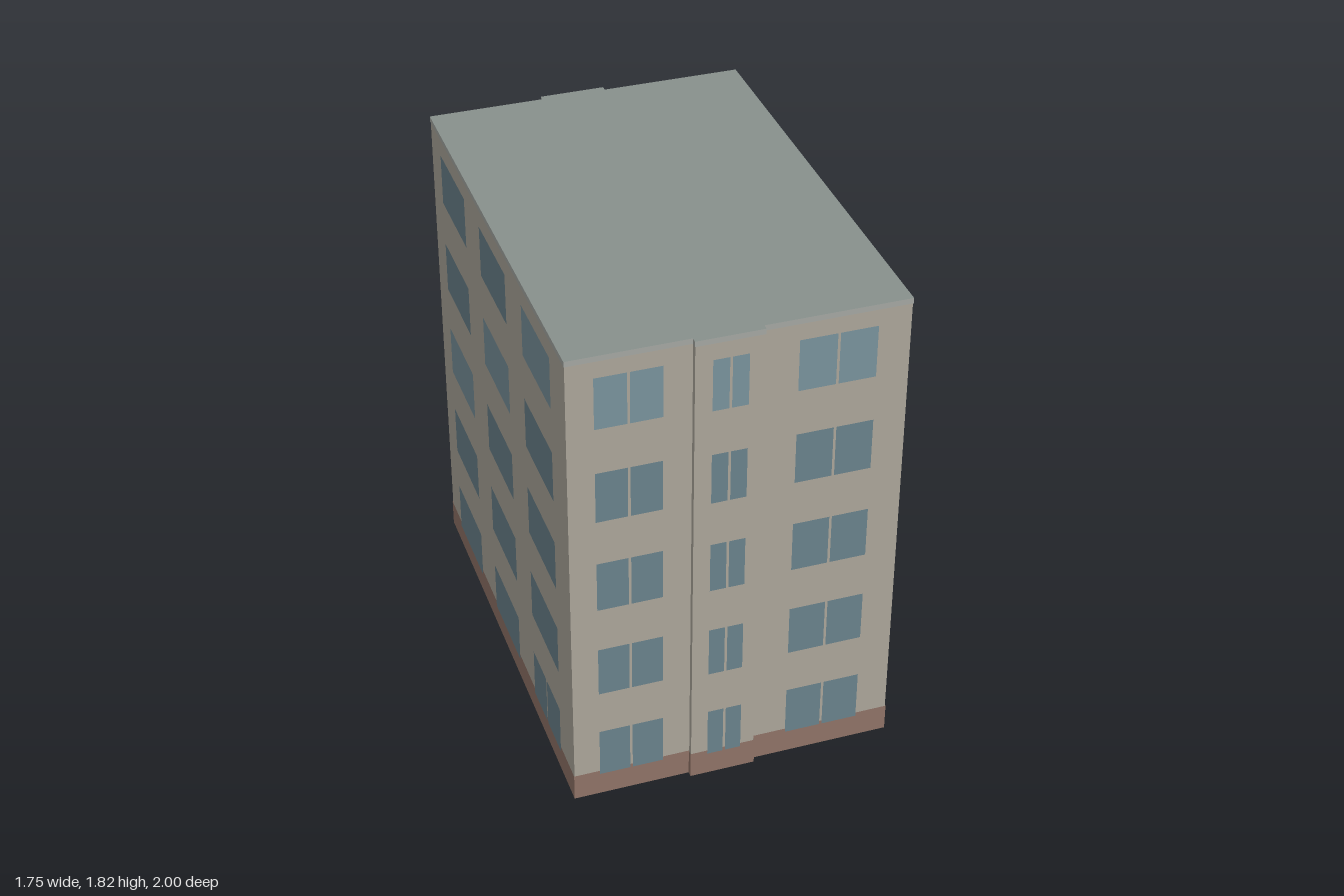
import * as THREE from 'three';

const HW = 0.578, HD = 0.83;          // half width and half depth of the block
const HEIGHT = 1.82, FLOORS = 5, STOREY = HEIGHT / FLOORS;
const BAY = { from: -0.16, to: 0.072, out: 0.02 };
const GAP = 0.009;                    // mullion width between paired panes

const paint = (color, side = THREE.FrontSide) =>
  new THREE.MeshStandardMaterial({ color, side, flatShading: true, roughness: 0.9 });

// Footprint seen from above, with a shallow bay on front and back, grown by e
function footprint(e = 0) {
  const w = HW + e, d = HD + e, a = BAY.from - e, b = BAY.to + e, o = d + BAY.out;
  return [
    [-w, d], [a, d], [a, o], [b, o], [b, d], [w, d],
    [w, -d], [b, -d], [b, -o], [a, -o], [a, -d], [-w, -d],
  ];
}

// Upright skin following the footprint, open at top and bottom
function skin(points, y0, y1) {
  const pos = [];
  points.forEach(([x0, z0], i) => {
    const [x1, z1] = points[(i + 1) % points.length];
    pos.push(x0, y0, z0, x1, y0, z1, x1, y1, z1, x0, y0, z0, x1, y1, z1, x0, y1, z0);
  });
  const geometry = new THREE.BufferGeometry();
  geometry.setAttribute('position', new THREE.Float32BufferAttribute(pos, 3));
  geometry.computeVertexNormals();
  return geometry;
}

function add(parent, name, geometry, material) {
  const mesh = new THREE.Mesh(geometry, material);
  mesh.name = name;
  parent.add(mesh);
  return mesh;
}

export function createModel() {
  const model = new THREE.Group();
  model.name = 'apartmentBlock';
  const block = new THREE.Group();
  block.name = 'block';
  block.rotation.y = 0.4346;
  model.add(block);

  const wall = paint(0xaaa499, THREE.DoubleSide);
  const brick = paint(0x8e7266, THREE.DoubleSide);
  const slate = paint(0x87908c, THREE.DoubleSide);
  const trim = paint(0xa3a6a1, THREE.DoubleSide);
  const glass = paint(0x69818a);
  const paleGlass = paint(0x78919b);

  // Shell, plinth, roof edge and flat roof
  add(block, 'walls', skin(footprint(), 0, HEIGHT), wall);
  add(block, 'plinth', skin(footprint(0.002), 0, 0.103), brick);
  add(block, 'roofEdge', skin(footprint(0.002), HEIGHT - 0.02, HEIGHT), trim);
  const outline = new THREE.Shape(footprint(0.002).map(([x, z]) => new THREE.Vector2(x, -z)));
  add(block, 'roof', new THREE.ShapeGeometry(outline).rotateX(-Math.PI / 2).translate(0, HEIGHT, 0), slate);

  // One window: one pane, or two panes with a narrow mullion gap
  function addWindow(facade, centre, width, floor, z, paired, material) {
    const count = paired ? 2 : 1;
    const paneWidth = paired ? (width - GAP) / 2 : width;
    for (let i = 0; i < count; i++) {
      const shift = paired ? (i - 0.5) * (paneWidth + GAP) : 0;
      const pane = add(facade, 'windowPane', new THREE.PlaneGeometry(paneWidth, 0.194), material);
      pane.position.set(centre + shift, floor * STOREY + 0.188, z);
    }
  }

  function addFacade(name, angle) {
    const facade = new THREE.Group();
    facade.name = name;
    facade.rotation.y = angle;
    block.add(facade);
    return facade;
  }

  // End facades: three paired windows per floor, mirrored front to back
  for (const [name, angle, dir] of [['frontFacade', 0, 1], ['backFacade', Math.PI, -1]]) {
    const facade = addFacade(name, angle);
    for (let f = 0; f < FLOORS; f++) {
      const material = f === FLOORS - 1 ? paleGlass : glass;
      addWindow(facade, -0.373 * dir, 0.228, f, HD + 0.005, true, material);
      addWindow(facade, -0.041 * dir, 0.122, f, HD + BAY.out + 0.005, true, material);
      addWindow(facade, 0.329 * dir, 0.268, f, HD + 0.005, true, material);
    }
  }

  // Long facades: three wide windows per floor, a split one on the ground floor
  for (const [name, angle] of [['leftFacade', Math.PI / 2], ['rightFacade', -Math.PI / 2]]) {
    const facade = addFacade(name, angle);
    for (let f = 0; f < FLOORS; f++) {
      for (let i = 0; i < 3; i++) {
        const split = f === 0 && i === 2;
        addWindow(facade, (i - 1) * 0.52, 0.324, f, HW + 0.005, split, i === f - 2 ? paleGlass : glass);
      }
    }
  }
  return model;
}
